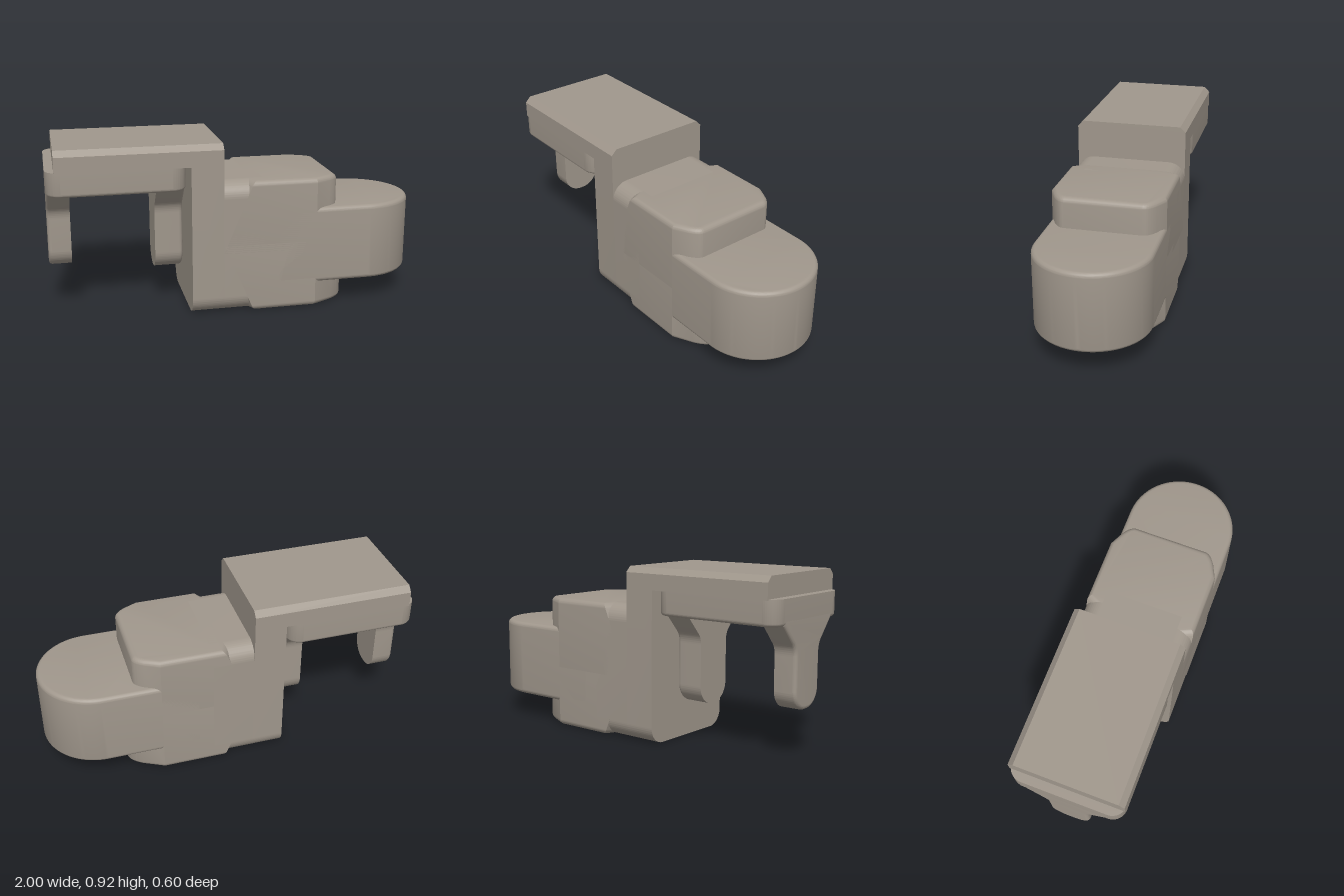
import * as THREE from 'three';
import { toCreasedNormals } from 'three/addons/utils/BufferGeometryUtils.js';

const material = new THREE.MeshStandardMaterial({ color: 0xa0978c });

// Extrude a shape to an exact depth, keeping its outline as the outer limit of the bevel
function extrude(shape, depth, bevel) {
  const geo = new THREE.ExtrudeGeometry(shape, {
    depth: depth - 2 * bevel, bevelEnabled: bevel > 0, bevelSize: bevel,
    bevelThickness: bevel, bevelOffset: -bevel, bevelSegments: 10, curveSegments: 28,
  });
  geo.translate(0, 0, bevel);
  return geo;
}

// Add a part, optionally moving its vertices by a rule first
function addPart(group, name, geo, rule) {
  if (rule) {
    const pos = geo.attributes.position;
    const v = new THREE.Vector3();
    for (let i = 0; i < pos.count; i++) {
      rule(v.fromBufferAttribute(pos, i));
      pos.setXYZ(i, v.x, v.y, v.z);
    }
  }
  const mesh = new THREE.Mesh(toCreasedNormals(geo, 0.3), material);
  mesh.name = name;
  group.add(mesh);
}

// Plan outline (x, z) raised between two heights
function raised(group, name, shape, y0, y1, bevel, rule) {
  const geo = extrude(shape, y1 - y0, bevel);
  geo.rotateX(-Math.PI / 2);
  geo.translate(0, y0, 0);
  addPart(group, name, geo, rule);
}

// Cross-section (z, y) swept along x
function swept(group, name, shape, x0, x1, bevel = 0, rule) {
  const geo = extrude(shape, x1 - x0, bevel);
  geo.rotateY(Math.PI / 2);
  geo.translate(x0, 0, 0);
  addPart(group, name, geo, rule);
}

// Rectangle with its own radius for the lower and upper corners
function roundedRect(x0, x1, y0, y1, low, high) {
  const s = new THREE.Shape();
  const q = Math.PI / 2;
  s.moveTo(x0 + low, y0);
  s.lineTo(x1 - low, y0);
  if (low) s.absarc(x1 - low, y0 + low, low, -q, 0, false);
  s.lineTo(x1, y1 - high);
  if (high) s.absarc(x1 - high, y1 - high, high, 0, q, false);
  s.lineTo(x0 + high, y1);
  if (high) s.absarc(x0 + high, y1 - high, high, q, 2 * q, false);
  s.lineTo(x0, y0 + low);
  if (low) s.absarc(x0 + low, y0 + low, low, 2 * q, 3 * q, false);
  return s;
}

// Block outline whose end corners are cut back and rounded
function taperedOutline(end, shoulderX, shoulderZ, flat) {
  const s = new THREE.Shape();
  s.moveTo(-0.025, -0.21);
  s.lineTo(0.02, -0.3);
  s.lineTo(0.4, -0.3);
  s.lineTo(shoulderX, -shoulderZ);
  s.quadraticCurveTo(end, -(shoulderZ + flat) / 2, end, -flat);
  s.lineTo(end, flat);
  s.quadraticCurveTo(end, (shoulderZ + flat) / 2, shoulderX, shoulderZ);
  s.lineTo(0.4, 0.3);
  s.lineTo(0.02, 0.3);
  s.lineTo(-0.025, 0.21);
  s.closePath();
  return s;
}

// Leg that narrows below the frame and ends in a rounded tip
function legOutline(bottom) {
  const w = 0.11, r = 0.1;
  const s = new THREE.Shape();
  s.moveTo(-0.23, 0.72);
  s.lineTo(-0.22, 0.68);
  s.lineTo(-0.135, 0.585);
  s.quadraticCurveTo(-w, 0.56, -w, 0.52);
  s.lineTo(-w, bottom + r);
  s.absarc(-w + r, bottom + r, r, Math.PI, Math.PI * 1.5, false);
  s.lineTo(w - r, bottom);
  s.absarc(w - r, bottom + r, r, Math.PI * 1.5, Math.PI * 2, false);
  s.lineTo(w, 0.52);
  s.quadraticCurveTo(w, 0.56, 0.135, 0.585);
  s.lineTo(0.22, 0.68);
  s.lineTo(0.23, 0.72);
  s.closePath();
  return s;
}

export function createModel() {
  const group = new THREE.Group();
  group.name = 'clipBracket';

  // Top plate with chamfered long edges
  const plate = new THREE.Shape([
    [-0.3, 0.805], [0.3, 0.805], [0.3, 0.888], [0.27, 0.918], [-0.27, 0.918], [-0.3, 0.888],
  ].map(([z, y]) => new THREE.Vector2(z, y)));
  swept(group, 'topPlate', plate, -0.955, -0.1);

  // Upright wall and the softly rounded neck joining it to the body
  swept(group, 'uprightWall', roundedRect(-0.3, 0.3, 0, 0.805, 0.09, 0), -0.27, -0.1);
  swept(group, 'neck', roundedRect(-0.3, 0.3, 0, 0.715, 0.09, 0.09), -0.1, 0.12);

  // Main body: blocks with cut-back ends, leaning where they grow out of the neck
  raised(group, 'upperBody', taperedOutline(0.53, 0.475, 0.265, 0.2), 0.3, 0.715, 0.03,
    (v) => { if (v.x < 0.1) v.x += 0.42 * (v.y - 0.62); });
  raised(group, 'lowerBody', taperedOutline(0.58, 0.51, 0.245, 0.16), 0, 0.4, 0.03,
    (v) => { if (v.x < 0.1) v.x += 0.42 * (0.095 - v.y); });

  // Round-ended nose
  const nose = new THREE.Shape();
  nose.moveTo(0.2, -0.3);
  nose.lineTo(0.7, -0.3);
  nose.absarc(0.7, 0, 0.3, -Math.PI / 2, Math.PI / 2, false);
  nose.lineTo(0.2, 0.3);
  nose.closePath();
  raised(group, 'nose', nose, 0.135, 0.552, 0.025);

  // Clip frame with a square top edge, flush with the plate
  raised(group, 'clipFrame', roundedRect(-1, -0.29, -0.3, 0.3, 0.075, 0.075), 0.68, 0.83, 0.02,
    (v) => { v.y = Math.min(v.y, 0.81); });

  // Legs: rounded on the outer edges, sharp on the faces that grip
  swept(group, 'outerLeg', legOutline(0.25), -1, -0.86, 0.02,
    (v) => { v.x = Math.min(v.x, -0.88); });
  swept(group, 'innerLeg', legOutline(0.2), -0.46, -0.29, 0.02,
    (v) => { v.x = Math.max(v.x, -0.44); });

  return group;
}
